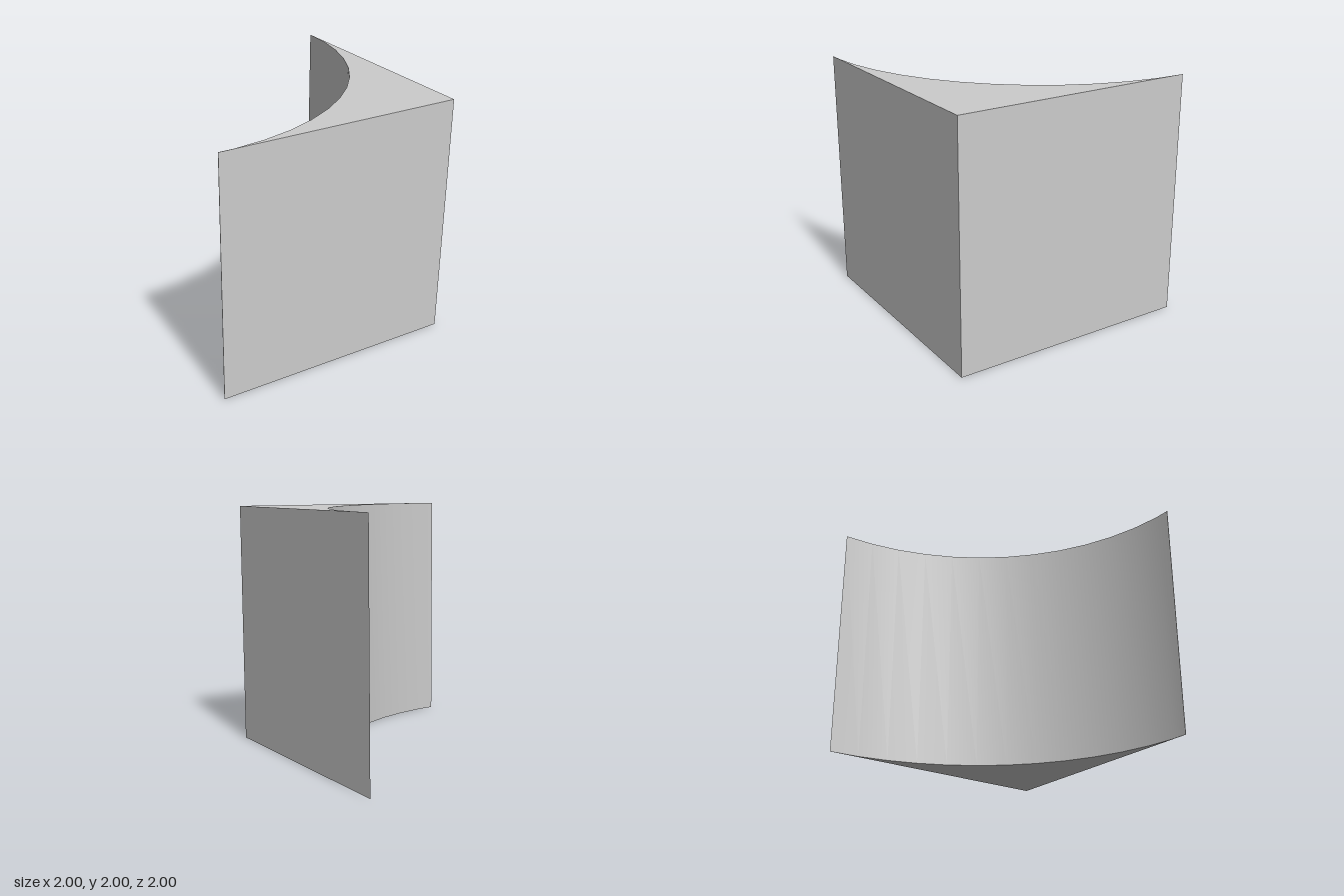
import * as THREE from 'three';
import { toCreasedNormals } from 'three/addons/utils/BufferGeometryUtils.js';

const RADIUS = 2;
const HEIGHT = 2;
const STEP = (Math.PI * 2) / 50;

export function createModel() {
  const model = new THREE.Group();
  model.name = 'concaveCornerBlock';

  // Plan outline (shape y = -z): square corner, hollowed by a quarter circle
  const outline = new THREE.Shape();
  outline.moveTo(-1, -1);
  outline.lineTo(1, -1);
  for (let i = 0; i <= 12; i++) {
    const a = i * STEP;
    outline.lineTo(-1 + RADIUS * Math.cos(a), 1 - RADIUS * Math.sin(a));
  }
  // The last facet straddles the quarter point, leaving a very thin edge
  outline.lineTo(-1, 1 - RADIUS * Math.cos(STEP / 2));
  outline.closePath();

  // Raise the outline and keep the curve smooth with sharp corners
  let geometry = new THREE.ExtrudeGeometry(outline, { depth: HEIGHT, bevelEnabled: false });
  geometry.rotateX(-Math.PI / 2);
  geometry = toCreasedNormals(geometry, Math.PI / 6);

  const block = new THREE.Mesh(geometry, new THREE.MeshStandardMaterial({ color: 0xcccccc }));
  block.name = 'cornerBlock';
  model.add(block);
  return model;
}
